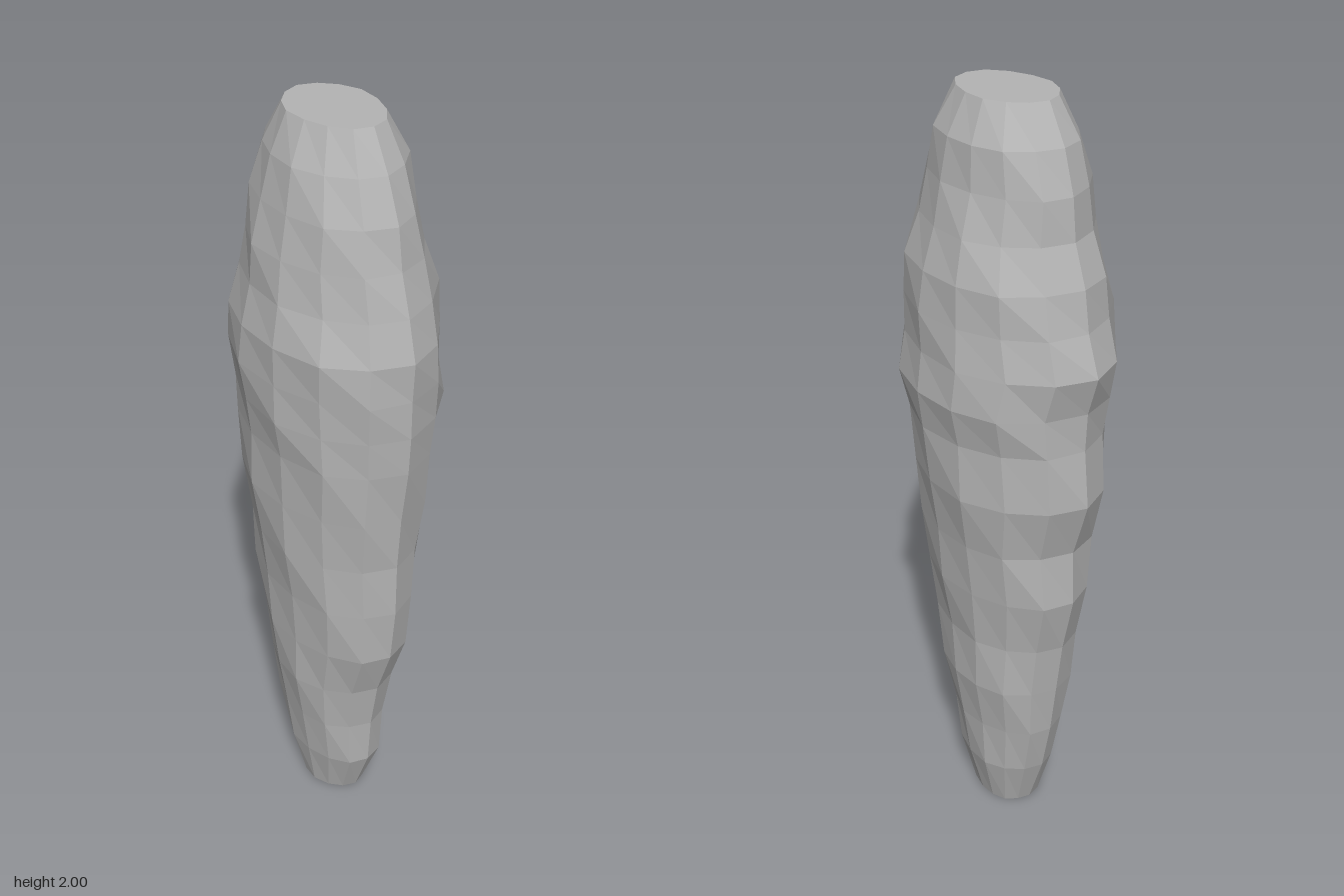
import * as THREE from 'three';

// Ring sections: height, left x, right x, back z, front z
const RINGS = [
  [0.00, -0.09, 0.11, -0.07, 0.09],
  [0.15, -0.14, 0.165, -0.105, 0.12],
  [0.30, -0.17, 0.175, -0.12, 0.14],
  [0.45, -0.19, 0.20, -0.145, 0.16],
  [0.60, -0.21, 0.25, -0.145, 0.17],
  [0.76, -0.245, 0.265, -0.165, 0.18],
  [0.91, -0.24, 0.265, -0.18, 0.195],
  [1.06, -0.285, 0.275, -0.20, 0.205],
  [1.21, -0.27, 0.295, -0.205, 0.21],
  [1.31, -0.275, 0.30, -0.225, 0.22],
  [1.41, -0.305, 0.30, -0.21, 0.225],
  [1.51, -0.27, 0.305, -0.205, 0.225],
  [1.61, -0.255, 0.28, -0.20, 0.20],
  [1.71, -0.22, 0.25, -0.17, 0.19],
  [1.81, -0.21, 0.235, -0.145, 0.17],
  [1.91, -0.18, 0.195, -0.135, 0.145],
  [2.00, -0.13, 0.145, -0.09, 0.105],
];
const SIDES = 14;
const MID_Z = 0.008;

// Faceted loft with shallow grooves winding up the body
function loftGeometry() {
  const positions = [], index = [];
  RINGS.forEach(([y, left, right, back, front], j) => {
    for (let k = 0; k < SIDES; k++) {
      const a = (k / SIDES) * Math.PI * 2;
      const c = Math.cos(a), s = Math.sin(a);
      const atSide = k % 7 === 0;
      const groove = atSide ? 1 : 0.985 + 0.02 * Math.cos((k - j) * 2.1);
      const x = c > 0 ? c * right : -c * left;
      const z = s > 0 ? s * (front - MID_Z) : -s * (back - MID_Z);
      positions.push(x * groove, y, MID_Z + (z / 0.975) * groove);
    }
  });
  const at = (j, k) => j * SIDES + (k % SIDES);
  for (let j = 0; j < RINGS.length - 1; j++) {
    for (let k = 0; k < SIDES; k++) {
      index.push(at(j, k + 1), at(j, k), at(j + 1, k + 1));
      index.push(at(j, k), at(j + 1, k), at(j + 1, k + 1));
    }
  }
  // Flat ends
  const top = RINGS.length - 1;
  for (let k = 1; k < SIDES - 1; k++) {
    index.push(at(0, 0), at(0, k), at(0, k + 1));
    index.push(at(top, 0), at(top, k + 1), at(top, k));
  }
  const g = new THREE.BufferGeometry();
  g.setAttribute('position', new THREE.Float32BufferAttribute(positions, 3));
  g.setIndex(index);
  const flat = g.toNonIndexed();
  flat.computeVertexNormals();
  return flat;
}

export function createModel() {
  const group = new THREE.Group();
  group.name = 'taperedColumn';
  const grey = new THREE.MeshStandardMaterial({ color: 0xb4b4b4 });
  grey.name = 'grey';
  const body = new THREE.Mesh(loftGeometry(), grey);
  body.name = 'body';
  group.add(body);
  return group;
}
